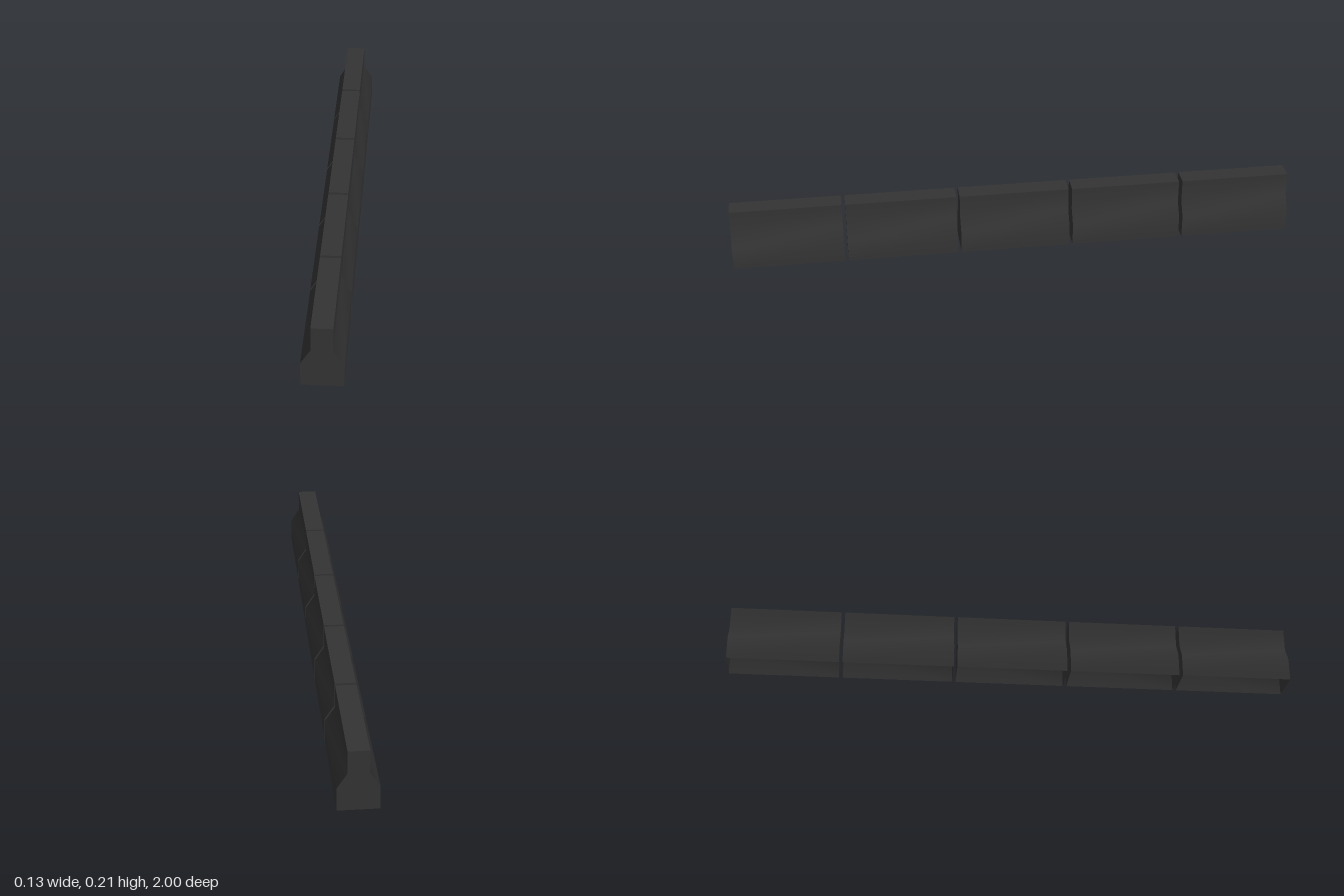
import * as THREE from 'three';

// Right half of the barrier section, from the ground up
const PROFILE = [[0.067, 0], [0.067, 0.08], [0.0345, 0.13], [0.0345, 0.21]];
const LENGTH = 0.39, PITCH = 0.4025, COUNT = 5;

// Long open surface swept along z through section points given counter-clockwise (seen from +z)
function sweep(points) {
  const pos = [], index = [];
  points.forEach(([x, y], i) => {
    pos.push(x, y, LENGTH / 2, x, y, -LENGTH / 2);
    if (i > 0) {
      const a = 2 * (i - 1);
      index.push(a, a + 1, a + 3, a, a + 3, a + 2);
    }
  });
  const geo = new THREE.BufferGeometry();
  geo.setAttribute('position', new THREE.Float32BufferAttribute(pos, 3));
  geo.setIndex(index);
  geo.computeVertexNormals(); // shared points keep the flank softly shaded
  return geo;
}

export function createModel() {
  const model = new THREE.Group();
  model.name = 'barrierRow';
  const concrete = new THREE.MeshStandardMaterial({ color: 0x333333, side: THREE.DoubleSide });
  concrete.name = 'darkConcrete';

  const mirrored = PROFILE.map(([x, y]) => [-x, y]).reverse();
  const [topX, topY] = PROFILE[PROFILE.length - 1];
  const section = new THREE.Shape([...PROFILE, ...mirrored].map(([x, y]) => new THREE.Vector2(x, y)));

  // Hollow shell parts, open underneath
  const end = new THREE.ShapeGeometry(section);
  const parts = {
    leftFlank: sweep(PROFILE),
    rightFlank: sweep(mirrored),
    top: sweep([[topX, topY], [-topX, topY]]),
    frontEnd: end.clone().translate(0, 0, LENGTH / 2),
    backEnd: end.clone().rotateY(Math.PI).translate(0, 0, -LENGTH / 2),
  };

  // Row of equal blocks with narrow gaps
  for (let i = 0; i < COUNT; i++) {
    const block = new THREE.Group();
    block.name = `barrierBlock${i + 1}`;
    for (const [name, geo] of Object.entries(parts)) {
      const mesh = new THREE.Mesh(geo, concrete);
      mesh.name = name;
      block.add(mesh);
    }
    block.position.z = (i - (COUNT - 1) / 2) * PITCH;
    model.add(block);
  }
  return model;
}
